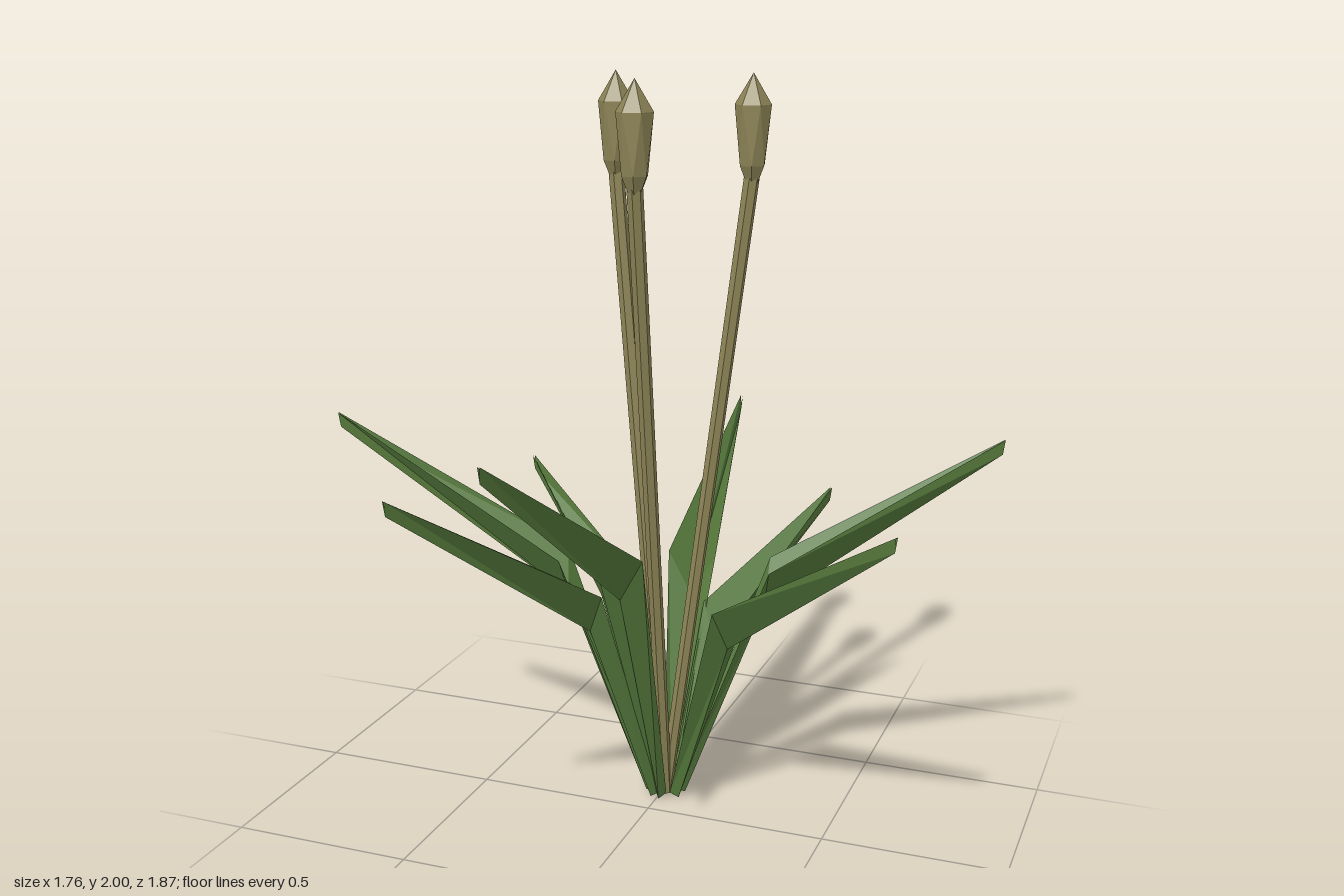
import * as THREE from 'three';

const CENTRE = new THREE.Vector3(0.01, 0, -0.115);

// V-shaped blade: rises steeply, kinks outward, and narrows to a point
function leafGeometry(tipX, tipY, tipZ) {
  const dx = tipX - CENTRE.x, dz = tipZ - CENTRE.z;
  const reach = Math.hypot(dx, dz);
  const ux = dx / reach, uz = dz / reach;
  // each section: edge radius, edge height, half width, keel radius, keel height
  const sections = [
    [0.035, 0.012, 0.016, 0.055, 0.0],
    [reach * 0.315, tipY * 0.65, 0.07, reach * 0.3, tipY * 0.65 - 0.12],
    [reach, tipY, 0.003, reach - 0.005, tipY - 0.04],
  ];
  const points = [], index = [];
  sections.forEach(([r, y, w, keelR, keelY], i) => {
    for (const [rad, h, side] of [[r, y, -w], [keelR, keelY, 0], [r, y, w]]) {
      points.push(CENTRE.x + ux * rad - uz * side, h, CENTRE.z + uz * rad + ux * side);
    }
    if (i === 0) return;
    for (let j = 0; j < 2; j++) {
      const a = (i - 1) * 3 + j, b = a + 1, c = a + 3, d = a + 4;
      index.push(a, b, c, b, d, c);
    }
  });
  const geometry = new THREE.BufferGeometry();
  geometry.setAttribute('position', new THREE.Float32BufferAttribute(points, 3));
  geometry.setIndex(index);
  const flat = geometry.toNonIndexed();
  flat.computeVertexNormals();
  return flat;
}

// Faceted bud whose rings are turned against each other
function budGeometry() {
  const profile = [[0, 1.68], [0.036, 1.765], [0.048, 1.92], [0, 2.0]];
  const geometry = new THREE.LatheGeometry(profile.map(([r, y]) => new THREE.Vector2(r, y)), 6);
  const p = geometry.attributes.position;
  const v = new THREE.Vector3(), up = new THREE.Vector3(0, 1, 0);
  for (let i = 0; i < p.count; i++) {
    v.fromBufferAttribute(p, i).applyAxisAngle(up, (p.getY(i) - 1.68) * 3);
    p.setXYZ(i, v.x, v.y, v.z);
  }
  geometry.computeVertexNormals();
  return geometry;
}

export function createModel() {
  const green = new THREE.MeshStandardMaterial({ color: 0x567a3c, flatShading: true, side: THREE.DoubleSide });
  green.name = 'leaf green';
  const straw = new THREE.MeshStandardMaterial({ color: 0x8d8456, flatShading: true });
  straw.name = 'straw brown';

  const plant = new THREE.Group();
  plant.name = 'plant';
  const add = (name, geometry, material) => {
    const mesh = new THREE.Mesh(geometry, material);
    mesh.name = name;
    plant.add(mesh);
    return mesh;
  };

  // Rosette of leaves, given by their tips
  const tips = [
    [-0.04, 0.97, -0.935], [0.32, 0.775, -0.69], [0.875, 1.06, -0.35], [0.73, 0.965, 0.27],
    [-0.03, 1.24, 0.935], [-0.44, 1.03, 0.63], [-0.88, 1.08, 0.085], [-0.57, 0.83, -0.52],
  ];
  tips.forEach((tip, i) => add(`leaf${i + 1}`, leafGeometry(...tip), green));

  // Three leaning stalks, each topped by an upright bud
  const bud = budGeometry();
  [[-0.177, -0.225], [0.004, 0.105], [0.203, -0.225]].forEach(([x, z], i) => {
    const top = new THREE.Vector3(x, 1.74, z);
    const along = top.clone().sub(CENTRE);
    const stalk = add(`stalk${i + 1}`, new THREE.CylinderGeometry(0.021, 0.018, along.length(), 6), straw);
    stalk.position.copy(CENTRE).addScaledVector(along, 0.5);
    stalk.quaternion.setFromUnitVectors(new THREE.Vector3(0, 1, 0), along.normalize());
    add(`bud${i + 1}`, bud, straw).position.set(x, 0, z);
  });
  return plant;
}
